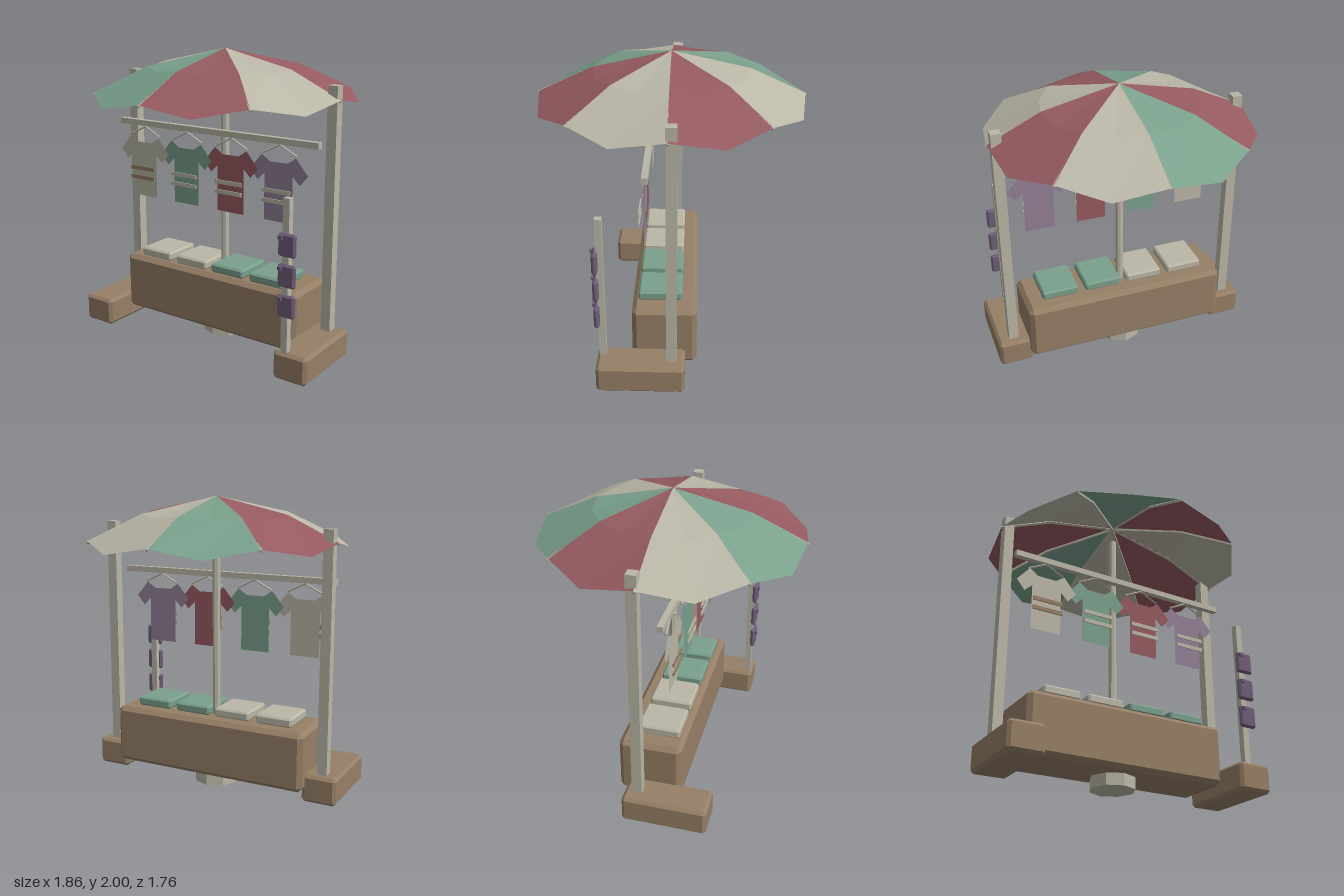
import * as THREE from 'three';
import { ConvexGeometry } from 'three/addons/geometries/ConvexGeometry.js';

const material = (name, color) => {
  const m = new THREE.MeshStandardMaterial({ color, side: THREE.DoubleSide, flatShading: true });
  m.name = name;
  return m;
};

export function createModel() {
  const model = new THREE.Group();
  model.name = 'clothesStall';

  const cream = material('cream', 0xbab7a7);
  const green = material('green', 0x7aa08c);
  const red = material('red', 0x955a60);
  const purple = material('purple', 0x927f95);
  const plum = material('plum', 0x6f5d78);
  const brown = material('brown', 0x967f66);

  const add = (name, geometry, mat, x = 0, y = 0, z = 0, parent = model) => {
    const mesh = new THREE.Mesh(geometry, mat);
    mesh.name = name;
    mesh.position.set(x, y, z);
    parent.add(mesh);
    return mesh;
  };

  // Box given by its limits
  const box = (name, mat, x0, x1, y0, y1, z0, z1) =>
    add(name, new THREE.BoxGeometry(x1 - x0, y1 - y0, z1 - z0), mat,
      (x0 + x1) / 2, (y0 + y1) / 2, (z0 + z1) / 2);

  // Box with all edges chamfered by c
  const chamferBox = (name, mat, c, x0, x1, y0, y1, z0, z1) => {
    const half = [(x1 - x0) / 2, (y1 - y0) / 2, (z1 - z0) / 2];
    const points = [];
    for (const sx of [-1, 1]) for (const sy of [-1, 1]) for (const sz of [-1, 1])
      for (let full = 0; full < 3; full++) {
        const p = [sx, sy, sz].map((s, i) => s * (half[i] - (i === full ? 0 : c)));
        points.push(new THREE.Vector3(...p));
      }
    return add(name, new ConvexGeometry(points), mat, (x0 + x1) / 2, (y0 + y1) / 2, (z0 + z1) / 2);
  };

  // Thin rod between two points
  const rod = (name, mat, a, b, radius, parent = model) => {
    const direction = b.clone().sub(a);
    const mid = a.clone().add(b).multiplyScalar(0.5);
    const mesh = add(name, new THREE.CylinderGeometry(radius, radius, direction.length(), 4), mat, mid.x, mid.y, mid.z, parent);
    mesh.quaternion.setFromUnitVectors(new THREE.Vector3(0, 1, 0), direction.normalize());
    return mesh;
  };

  // Side feet and posts
  for (const s of [-1, 1]) {
    const cx = s * 0.812;
    chamferBox('foot', brown, 0.02, cx - 0.12, cx + 0.12, 0, 0.19, -0.11, 0.46);
    const px = s * 0.817;
    box('sidePost', cream, px - 0.034, px + 0.034, 0.18, 1.81, -0.058, 0.01);
  }

  // Counter
  chamferBox('counter', brown, 0.03, -0.718, 0.715, 0.08, 0.487, -0.185, 0.238);

  // Umbrella foot and pole
  add('umbrellaFoot', new THREE.CylinderGeometry(0.153, 0.153, 0.09, 8), cream, 0, 0.045, 0);
  add('umbrellaPole', new THREE.CylinderGeometry(0.028, 0.028, 1.8, 8), cream, 0, 0.97, 0);

  // Canopy: eight panels, each with a sagging middle seam
  const canopy = new THREE.Group();
  canopy.name = 'canopy';
  model.add(canopy);
  const polar = (angle, r, y) => new THREE.Vector3(Math.cos(angle) * r, y, Math.sin(angle) * r);
  const apex = new THREE.Vector3(0, 2, 0);
  const panelColours = [cream, red, green, cream, red, green, cream, red];
  panelColours.forEach((mat, i) => {
    const inner = [], outer = [], step = Math.PI / 8;
    for (let k = 0; k < 3; k++) {
      const angle = (2 * i + k) * step;
      const seam = k === 1;
      inner.push(polar(angle, 0.515, seam ? 1.868 : 1.887));
      outer.push(polar(angle, seam ? 0.893 : 0.872, seam ? 1.665 : 1.722));
    }
    const corners = [];
    for (let k = 0; k < 2; k++) {
      corners.push(apex, inner[k + 1], inner[k]);
      corners.push(inner[k], inner[k + 1], outer[k + 1], inner[k], outer[k + 1], outer[k]);
    }
    const geometry = new THREE.BufferGeometry().setFromPoints(corners);
    geometry.computeVertexNormals();
    add('canopyPanel', geometry, mat, 0, 0, 0, canopy);

    // Rib under each panel edge
    const angle = i * Math.PI / 4;
    const bend = polar(angle, 0.512, 1.877);
    rod('canopyRib', cream, new THREE.Vector3(0, 1.985, 0), bend, 0.01, canopy);
    rod('canopyRib', cream, bend, polar(angle, 0.874, 1.713), 0.01, canopy);
  });

  // Clothes rail
  box('rail', cream, -0.815, 0.81, 1.435, 1.475, 0.115, 0.155);

  // Hanging shirts
  const halfOutline = [[0.105, 0.927], [0.105, 1.238], [0.158, 1.187], [0.216, 1.255], [0.127, 1.36], [0.065, 1.318]];
  const outline = [...halfOutline, ...halfOutline.map(([x, y]) => [-x, y]).reverse()];
  const shirtShape = new THREE.Shape(outline.map(([x, y]) => new THREE.Vector2(x, y)));
  const shirts = [[cream, brown], [green, cream], [red, cream], [purple, cream]];
  shirts.forEach(([mat, stripeMat], i) => {
    const shirt = new THREE.Group();
    shirt.name = 'hangingShirt';
    shirt.position.x = -0.59 + i * 0.372;
    model.add(shirt);
    add('shirt', new THREE.ShapeGeometry(shirtShape), mat, 0, 0, 0.158 - i * 0.001, shirt);
    for (const y of [1.068, 1.135])
      add('shirtStripe', new THREE.BoxGeometry(0.212, 0.027, 0.008), stripeMat, 0, y, 0.185, shirt);
    for (const s of [-1, 1])
      rod('hangerArm', cream, new THREE.Vector3(0, 1.432, 0.143), new THREE.Vector3(s * 0.127, 1.368, 0.143), 0.007, shirt);
  });

  // Folded clothes on the counter
  [[-0.6, cream], [-0.287, cream], [0.02, green], [0.333, green]].forEach(([x, mat]) =>
    chamferBox('foldedClothes', mat, 0.012, x, x + 0.26, 0.487, 0.55, -0.087, 0.2));

  // Display post with small purses
  box('displayPost', cream, 0.742, 0.787, 0.18, 1.185, 0.4, 0.445);
  for (const y of [0.43, 0.627, 0.823]) {
    chamferBox('purse', plum, 0.012, 0.72, 0.842, y, y + 0.147, 0.433, 0.467);
    box('purseClasp', plum, 0.732, 0.757, y + 0.112, y + 0.135, 0.465, 0.483);
  }

  return model;
}
